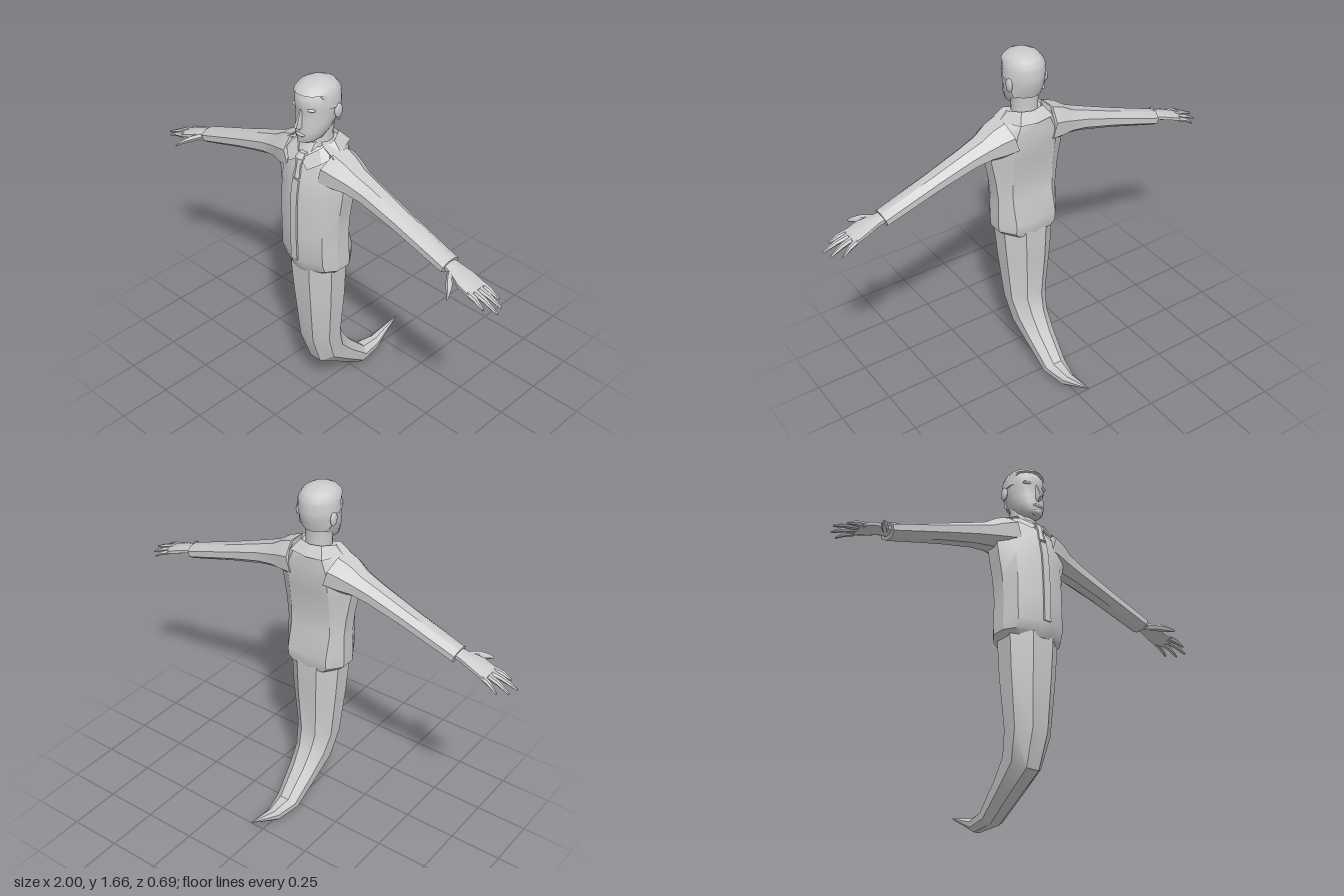
import * as THREE from 'three';
import { toCreasedNormals, mergeVertices } from 'three/addons/utils/BufferGeometryUtils.js';

const material = new THREE.MeshStandardMaterial({ color: 0xcccccc, side: THREE.DoubleSide });

// Skin closed rings of [x, y, z] points, cap both ends, and face the result outward.
function loft(name, rings, crease = 0.5) {
  const n = rings[0].length, pos = rings.flat(2), idx = [];
  for (let r = 0; r < rings.length - 1; r++) {
    for (let i = 0; i < n; i++) {
      const a = r * n + i, b = r * n + (i + 1) % n;
      idx.push(a, b, b + n, a, b + n, a + n);
    }
  }
  [0, rings.length - 1].forEach((r, end) => {
    const c = pos.length / 3;
    for (let k = 0; k < 3; k++) pos.push(rings[r].reduce((s, p) => s + p[k], 0) / n);
    for (let i = 0; i < n; i++) {
      const a = r * n + i, b = r * n + (i + 1) % n;
      idx.push(c, end ? a : b, end ? b : a);
    }
  });
  const v = (i) => new THREE.Vector3().fromArray(pos, i * 3);
  let volume = 0;
  for (let i = 0; i < idx.length; i += 3) volume += v(idx[i]).dot(v(idx[i + 1]).cross(v(idx[i + 2])));
  if (volume < 0) idx.reverse();
  const g = new THREE.BufferGeometry();
  g.setAttribute('position', new THREE.Float32BufferAttribute(pos, 3));
  g.setIndex(idx);
  const mesh = new THREE.Mesh(toCreasedNormals(mergeVertices(g), crease), material);
  mesh.name = name;
  return mesh;
}

// n points round an ellipse, turned half a step so that a flat faces each way.
function around(n, fn) {
  const k = 1 / Math.cos(Math.PI / n);
  return Array.from({ length: n }, (_, i) => {
    const a = (i + 0.5) / n * Math.PI * 2;
    return fn(Math.cos(a) * k, Math.sin(a) * k);
  });
}

// Limb running sideways: stations of [x, y, z, half height, half depth].
const limb = (name, side, n, stations, lean = 0) => loft(name, stations.map(([x, y, z, h, d]) =>
  around(n, (c, s) => [side * (x + lean * c * h), y + c * h, z + s * d])), 0.6);

// Upright form: stations of [y, half width, front z, back z].
const upright = (name, n, stations, crease, limit = () => 9) => loft(name, stations.map((st) =>
  around(n, (c, s) => [s * st[1], st[0],
    Math.min(limit(st), (st[2] + st[3]) / 2 + c * (st[2] - st[3]) / 2)])), crease);

// Open strip between two equally long edges.
function strip(name, a, b) {
  const idx = [];
  for (let i = 0; i < a.length - 1; i++) {
    const j = i + a.length;
    idx.push(i, j, i + 1, i + 1, j, j + 1);
  }
  const g = new THREE.BufferGeometry();
  g.setAttribute('position', new THREE.Float32BufferAttribute([...a, ...b].flat(), 3));
  g.setIndex(idx);
  const mesh = new THREE.Mesh(toCreasedNormals(g, 0.4), material);
  mesh.name = name;
  return mesh;
}

function makeJacket() {
  const g = new THREE.Group();
  g.name = 'jacket';
  // [y, half width, front panel half width, front z, back z]
  const stations = [
    [0.76, 0.13, 0.10, 0.315, 0.095], [0.785, 0.158, 0.125, 0.328, 0.09],
    [0.83, 0.16, 0.125, 0.342, 0.085], [0.95, 0.155, 0.125, 0.342, 0.112],
    [1.05, 0.165, 0.125, 0.34, 0.112], [1.16, 0.185, 0.125, 0.333, 0.098],
    [1.23, 0.195, 0.125, 0.32, 0.085], [1.30, 0.18, 0.115, 0.30, 0.083],
    [1.35, 0.135, 0.09, 0.265, 0.085], [1.385, 0.075, 0.05, 0.235, 0.105],
  ];
  g.add(loft('jacketBody', stations.map(([y, w, f, zf, zb]) => {
    const half = [[0.03, zf - 0.004], [f, zf - 0.045], [w, 0.235], [w, 0.165], [f * 0.85, zb + 0.008]];
    return [[0, y, zf], ...half.map(([x, z]) => [x, y, z]), [0, y, zb],
      ...half.slice().reverse().map(([x, z]) => [-x, y, z])];
  }), 0.45));

  // Front closing flap and tie
  g.add(loft('frontPlacket', stations.slice(2, 7).map(([y, , , z]) =>
    [[-0.02, y, z - 0.02], [0.02, y, z - 0.02], [0.018, y, z + 0.005], [-0.018, y, z + 0.005]])));
  g.add(loft('tie', [[1.345, 0.016, 0.285], [1.325, 0.024, 0.305], [1.295, 0.013, 0.311],
    [1.24, 0.02, 0.325]].map(([y, w, z]) =>
    [[-w, y, z - 0.03], [w, y, z - 0.03], [w, y, z - 0.003], [0, y, z + 0.004], [-w, y, z - 0.003]])));

  // Folded collar, one wing per side
  for (const side of [1, -1]) {
    const flip = (pts) => pts.map(([x, y, z]) => [side * x, y, z]);
    const top = flip([[0, 1.40, 0.11], [0.055, 1.405, 0.12], [0.088, 1.395, 0.18], [0.065, 1.37, 0.245], [0.006, 1.325, 0.297]]);
    const outer = flip([[0, 1.355, 0.075], [0.085, 1.36, 0.082], [0.13, 1.352, 0.185], [0.105, 1.325, 0.272], [0.055, 1.293, 0.31]]);
    const inner = flip([[0, 1.35, 0.12], [0.045, 1.35, 0.13], [0.065, 1.35, 0.18], [0.05, 1.33, 0.235], [0.004, 1.29, 0.28]]);
    g.add(strip('collarWing', top, outer), strip('collarStand', top, inner));
  }
  return g;
}

function makeArm(side) {
  const g = new THREE.Group();
  g.name = side > 0 ? 'leftArm' : 'rightArm';
  g.add(limb('sleeve', side, 8, [
    [0.10, 1.275, 0.185, 0.085, 0.10], [0.16, 1.262, 0.185, 0.077, 0.088], [0.22, 1.248, 0.182, 0.056, 0.07],
    [0.30, 1.228, 0.18, 0.047, 0.06], [0.47, 1.174, 0.18, 0.038, 0.052], [0.73, 1.088, 0.18, 0.031, 0.048],
  ], 0.3));
  g.add(limb('palm', side, 8, [
    [0.71, 1.095, 0.18, 0.02, 0.032], [0.76, 1.085, 0.182, 0.018, 0.036],
    [0.82, 1.066, 0.188, 0.018, 0.052], [0.885, 1.042, 0.187, 0.013, 0.054],
  ]));
  // [knuckle x, knuckle z, tip x, tip z, tip y]
  const fingers = [[0.87, 0.146, 0.945, 0.13, 1.005], [0.875, 0.174, 0.985, 0.165, 1.002],
    [0.875, 0.202, 1.0, 0.208, 1.005], [0.87, 0.227, 0.955, 0.24, 1.018]];
  for (const [x, z, tx, tz, ty] of fingers) {
    g.add(limb('finger', side, 6, [
      [x, 1.046, z, 0.012, 0.014], [(x + tx) / 2, (1.046 + ty) / 2 + 0.006, (z + tz) / 2, 0.010, 0.011],
      [tx, ty, tz, 0.004, 0.005],
    ]));
  }
  g.add(limb('thumb', side, 6, [
    [0.745, 1.083, 0.192, 0.014, 0.018], [0.785, 1.07, 0.245, 0.014, 0.022],
    [0.812, 1.055, 0.28, 0.010, 0.015], [0.828, 1.04, 0.308, 0.004, 0.006],
  ]));
  return g;
}

function makeHead() {
  const g = new THREE.Group();
  g.name = 'head';
  g.add(upright('neck', 12, [[1.30, 0.068, 0.25, 0.11], [1.40, 0.06, 0.235, 0.125], [1.48, 0.065, 0.24, 0.12]], 1));
  g.add(upright('skull', 16, [
    [1.398, 0.035, 0.288, 0.215], [1.415, 0.055, 0.294, 0.17], [1.45, 0.071, 0.294, 0.13],
    [1.49, 0.082, 0.288, 0.105], [1.535, 0.087, 0.282, 0.093], [1.56, 0.089, 0.288, 0.089],
    [1.60, 0.086, 0.284, 0.09], [1.635, 0.067, 0.262, 0.112], [1.65, 0.035, 0.23, 0.15],
  ], 1.2));
  // Hair stops at a hairline that steps back behind the ears
  g.add(upright('hair', 16, [
    [1.47, 0.078, 0.29, 0.105, 0.14], [1.505, 0.088, 0.29, 0.093, 0.15], [1.55, 0.094, 0.29, 0.084, 0.165],
    [1.555, 0.094, 0.29, 0.084, 0.225], [1.60, 0.092, 0.29, 0.084, 0.23], [1.615, 0.088, 0.289, 0.088, 0.24],
    [1.618, 0.087, 0.289, 0.089, 9], [1.64, 0.071, 0.27, 0.106, 9], [1.655, 0.044, 0.24, 0.14, 9],
    [1.66, 0.012, 0.21, 0.175, 9],
  ], 0.9, (st) => st[4]));
  // Nose: narrow bridge widening to the tip
  g.add(loft('nose', [[1.55, 0.009, 0.288], [1.52, 0.011, 0.299], [1.475, 0.019, 0.319], [1.458, 0.014, 0.295]]
    .map(([y, w, z]) => [[-w, y, 0.265], [w, y, 0.265], [w * 0.4, y, z], [-w * 0.4, y, z]]), 1));
  const blob = (name, x, y, z, sx, sy, sz) => {
    const m = new THREE.Mesh(new THREE.SphereGeometry(1, 12, 8), material);
    m.name = name;
    m.position.set(x, y, z);
    m.scale.set(sx, sy, sz);
    g.add(m);
  };
  blob('lips', 0, 1.436, 0.289, 0.026, 0.009, 0.012);
  blob('chin', 0, 1.408, 0.278, 0.027, 0.014, 0.017);
  for (const side of [1, -1]) {
    blob('brow', side * 0.036, 1.555, 0.267, 0.03, 0.009, 0.015);
    blob('ear', side * 0.091, 1.53, 0.158, 0.011, 0.033, 0.022);
  }
  return g;
}

function makeTail() {
  // [front y, front z, back y, back z, half width]
  const stations = [
    [0.80, 0.312, 0.80, 0.095, 0.135], [0.74, 0.312, 0.74, 0.095, 0.131], [0.60, 0.303, 0.60, 0.098, 0.122],
    [0.345, 0.283, 0.365, 0.112, 0.098], [0.186, 0.23, 0.28, 0.085, 0.08], [0.103, 0.108, 0.195, 0.03, 0.068],
    [0.008, -0.03, 0.08, -0.08, 0.054], [0.003, -0.16, 0.068, -0.175, 0.032], [0.107, -0.34, 0.109, -0.341, 0.001],
  ];
  return loft('tail', stations.map(([fy, fz, by, bz, w]) => around(8, (c, s) =>
    [s * w, (fy + by) / 2 + c * (fy - by) / 2, (fz + bz) / 2 + c * (fz - bz) / 2])), 0.4);
}

export function createModel() {
  const model = new THREE.Group();
  model.name = 'tailedMan';
  model.add(makeTail(), makeJacket(), makeArm(1), makeArm(-1), makeHead());
  return model;
}
